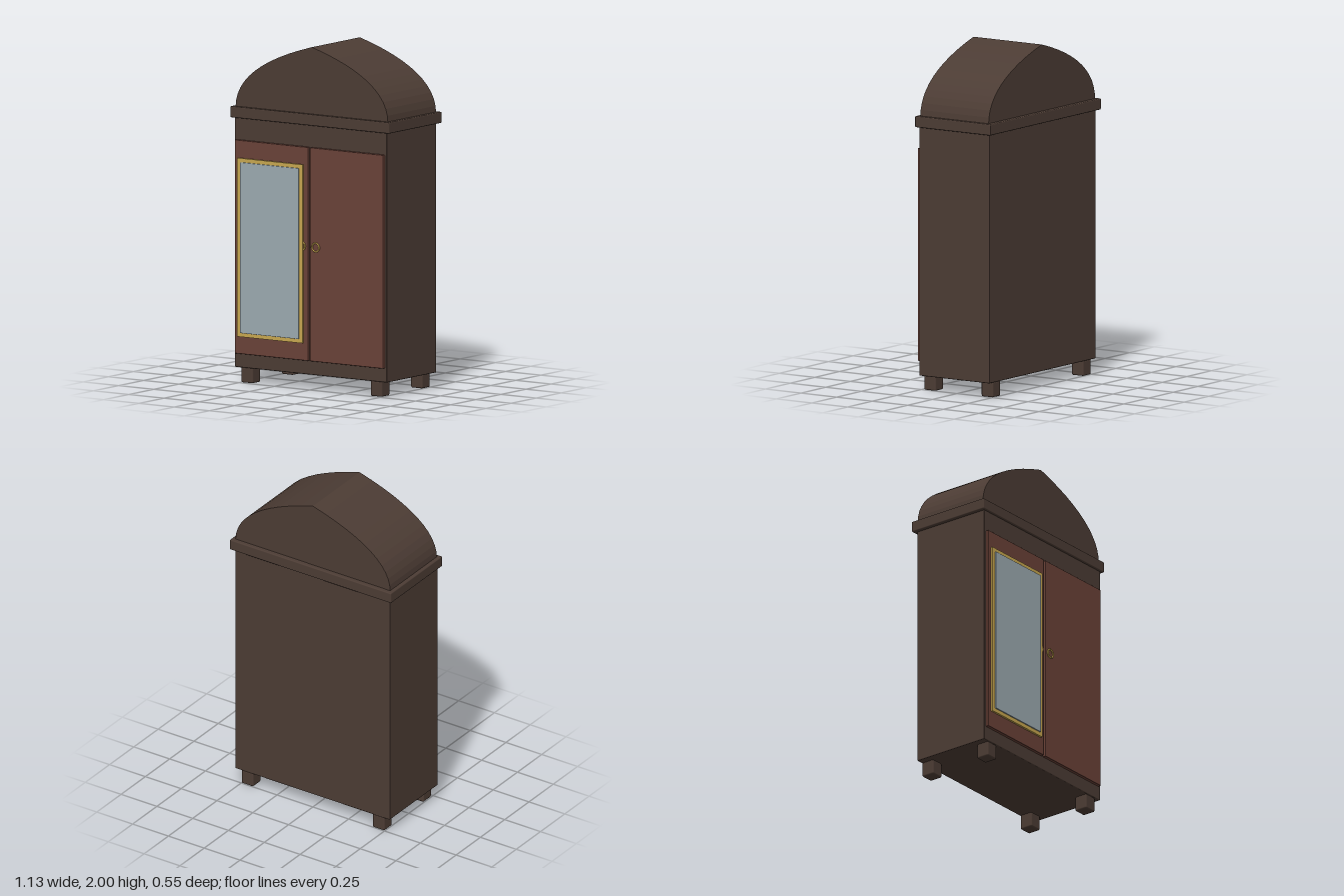
import * as THREE from 'three';
import { RoundedBoxGeometry } from 'three/addons/geometries/RoundedBoxGeometry.js';

const mat = (color) => new THREE.MeshStandardMaterial({ color });

export function createModel() {
  const group = new THREE.Group();
  const wood = mat(0x4c3c34), doorWood = mat(0x6a4238), gold = mat(0xc8a850), glass = mat(0x9caab0);

  const add = (name, geometry, material) => {
    const mesh = new THREE.Mesh(geometry, material);
    mesh.name = name;
    group.add(mesh);
    return mesh;
  };
  // Box given by its extents, with slightly softened edges
  const box = (name, material, [x0, x1], [y0, y1], [z0, z1], r = 0.004) => {
    const geometry = new RoundedBoxGeometry(x1 - x0, y1 - y0, z1 - z0, 2, r);
    add(name, geometry, material).position.set((x0 + x1) / 2, (y0 + y1) / 2, (z0 + z1) / 2);
  };

  // Carcass and cornice
  box('cabinetBody', wood, [-0.54, 0.54], [0.088, 1.55], [-0.255, 0.24], 0.005);
  box('cornice', wood, [-0.563, 0.563], [1.545, 1.61], [-0.277, 0.253], 0.006);

  // Pointed arched top
  const arch = new THREE.Shape();
  arch.moveTo(-0.54, 1.605);
  arch.lineTo(0.54, 1.605);
  arch.quadraticCurveTo(0.54, 1.85, 0, 2);
  arch.quadraticCurveTo(-0.54, 1.85, -0.54, 1.605);
  const archGeometry = new THREE.ExtrudeGeometry(arch, { depth: 0.48, bevelEnabled: false, curveSegments: 12 });
  add('archedTop', archGeometry, wood).position.z = -0.25;

  // Feet
  for (const x of [-0.458, 0.458]) {
    for (const z of [-0.21, 0.193]) {
      box('foot', wood, [x - 0.041, x + 0.041], [0, 0.09], [z - 0.041, z + 0.041], 0.009);
    }
  }

  // Doors with ring pulls
  for (const [side, s] of [['right', -1], ['left', 1]]) {
    const cx = s * 0.266;
    box(side + 'Door', doorWood, [cx - 0.259, cx + 0.259], [0.17, 1.418], [0.23, 0.258]);
    const ring = add(side + 'RingPull', new THREE.TorusGeometry(0.025, 0.005, 8, 24), gold);
    ring.position.set(s * 0.05, 0.838, 0.262);
  }

  // Mirror in a gilt frame on the right door
  const frame = new THREE.Shape();
  frame.moveTo(-0.5, 0.272).lineTo(-0.037, 0.272).lineTo(-0.037, 1.315).lineTo(-0.5, 1.315).closePath();
  const opening = new THREE.Path();
  opening.moveTo(-0.475, 0.3).lineTo(-0.475, 1.287).lineTo(-0.062, 1.287).lineTo(-0.062, 0.3).closePath();
  frame.holes.push(opening);
  const frameGeometry = new THREE.ExtrudeGeometry(frame, { depth: 0.02, bevelEnabled: false });
  add('mirrorFrame', frameGeometry, gold).position.z = 0.25;
  box('mirror', glass, [-0.477, -0.06], [0.295, 1.292], [0.25, 0.277], 0.001);

  return group;
}
